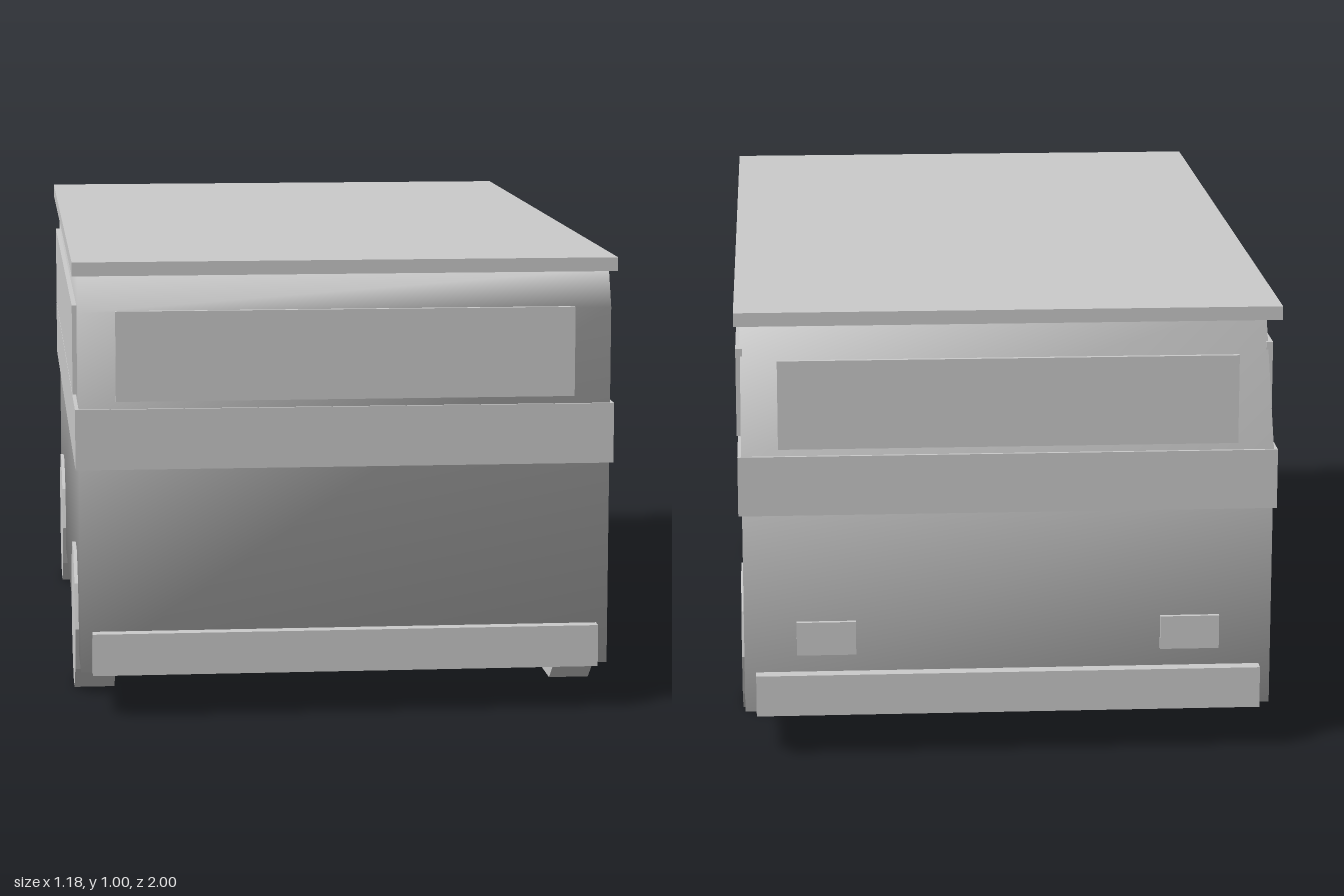
import * as THREE from 'three';
import { mergeVertices } from 'three/addons/utils/BufferGeometryUtils.js';

export function createModel() {
  const van = new THREE.Group();
  van.name = 'van';
  const mat = new THREE.MeshStandardMaterial({ color: 0xcccccc });
  const flat = new THREE.MeshStandardMaterial({ color: 0xcccccc, flatShading: true });

  const add = (name, geometry, material = mat) => {
    const mesh = new THREE.Mesh(geometry, material);
    mesh.name = name;
    van.add(mesh);
    return mesh;
  };
  // Box given by its limits on each axis
  const box = (name, x0, x1, y0, y1, z0, z1) =>
    add(name, new THREE.BoxGeometry(x1 - x0, y1 - y0, z1 - z0))
      .position.set((x0 + x1) / 2, (y0 + y1) / 2, (z0 + z1) / 2);

  // Body: side profile (z, y) extruded across the width, softly shaded
  const profile = [[0.97, 0.1], [0.97, 0.89], [0.935, 0.97], [-0.8, 0.97], [-0.97, 0.68], [-0.97, 0.1]];
  const shape = new THREE.Shape(profile.map(([z, y]) => new THREE.Vector2(-z, y)));
  let body = new THREE.ExtrudeGeometry(shape, { depth: 1.16, bevelEnabled: false });
  body.translate(0, 0, -0.58).rotateY(Math.PI / 2);
  body.deleteAttribute('normal');
  body.deleteAttribute('uv');
  body = mergeVertices(body);
  body.computeVertexNormals();
  add('body', body);

  // Roof slab and waist band
  box('roof', -0.592, 0.592, 0.97, 1, -0.98, 0.98);
  box('waistBand', -0.588, 0.588, 0.548, 0.68, -0.977, 0.977);

  // Windows
  box('windscreen', -0.5, 0.5, 0.697, 0.893, 0.965, 0.98);
  box('rearWindow', -0.5, 0.5, 0.697, 0.893, -0.98, -0.97);
  box('leftWindow', 0.575, 0.59, 0.697, 0.893, -0.855, 0.86);
  box('rightWindow', -0.59, -0.575, 0.697, 0.893, -0.855, 0.86);

  // Bumpers
  box('frontBumper', -0.555, 0.555, 0.098, 0.19, 0.96, 1);
  box('rearBumper', -0.555, 0.555, 0.098, 0.19, -1, -0.96);

  // Tail lights and wheels on both sides
  for (const [side, s] of [['left', 1], ['right', -1]]) {
    box(side + 'TailLight', s * 0.4 - 0.065, s * 0.4 + 0.065, 0.23, 0.305, -0.98, -0.96);
    for (const [end, z] of [['Front', 0.635], ['Rear', -0.6]]) {
      const wheel = new THREE.CylinderGeometry(0.166, 0.166, 0.09, 10).rotateZ(Math.PI / 2);
      add(side + end + 'Wheel', wheel, flat).position.set(s * 0.543, 0.16, z);
    }
  }
  return van;
}
